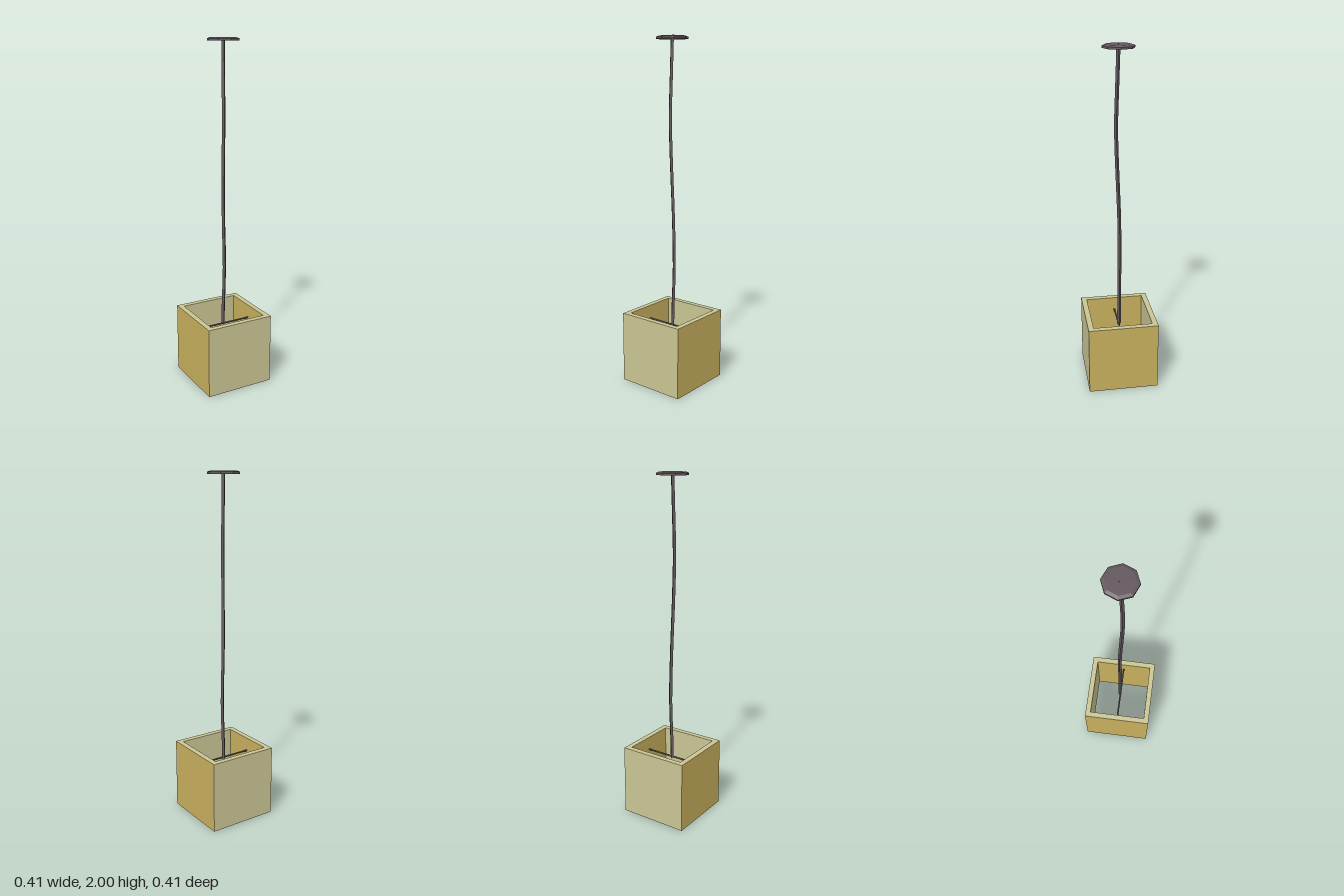
import * as THREE from 'three';

export function createModel() {
  const group = new THREE.Group();
  group.name = 'pendantLamp';

  const pale = new THREE.MeshStandardMaterial({ color: 0xc9c594 });
  pale.name = 'paleStraw';
  const gold = new THREE.MeshStandardMaterial({ color: 0xc8b05e });
  gold.name = 'gold';
  const metal = new THREE.MeshStandardMaterial({ color: 0x63585e });
  metal.name = 'darkMetal';

  const add = (name, geometry, material, x = 0, y = 0, z = 0) => {
    const mesh = new THREE.Mesh(geometry, material);
    mesh.name = name;
    mesh.position.set(x, y, z);
    group.add(mesh);
    return mesh;
  };
  const flat = (geometry) => {
    const g = geometry.index ? geometry.toNonIndexed() : geometry;
    g.computeVertexNormals();
    return g;
  };

  // Square shade, open above and below: faces along x are gold, the rest pale
  const half = 0.206, inner = 0.174, height = 0.416;
  const wall = half - inner, mid = (half + inner) / 2;
  const faces = [gold, gold, pale, pale, pale, pale];
  for (const s of [1, -1]) {
    add(s > 0 ? 'frontWall' : 'backWall',
      new THREE.BoxGeometry(half * 2, height, wall), faces, 0, height / 2, s * mid);
    add(s > 0 ? 'leftWall' : 'rightWall',
      new THREE.BoxGeometry(wall, height, inner * 2), faces, s * mid, height / 2, 0);
  }

  // Thin bar across the shade that the cord holds
  const barY = 0.335;
  const bar = add('crossBar', flat(new THREE.CylinderGeometry(0.005, 0.005, inner * 2, 6)), metal, 0, barY, 0);
  bar.rotation.z = Math.PI / 2;

  // Slightly wavy four-sided cord
  const path = new THREE.CatmullRomCurve3([
    [0, barY - 0.005, -0.003], [0.003, 0.45, -0.003], [0.011, 0.7, -0.004], [0.004, 1.0, -0.004],
    [-0.002, 1.3, 0.006], [-0.004, 1.55, 0.013], [-0.002, 1.8, 0.006], [0, 1.999, 0],
  ].map((p) => new THREE.Vector3(...p)));
  add('cord', flat(new THREE.TubeGeometry(path, 14, 0.011, 4, false)), metal);

  // Eight-sided ceiling plate with a bevelled upper edge
  const profile = [[0, 1.982], [0.09, 1.982], [0.09, 1.993], [0.073, 1.999], [0, 1.999]]
    .map(([r, y]) => new THREE.Vector2(r, y));
  add('ceilingPlate', flat(new THREE.LatheGeometry(profile, 8)), metal);

  // Small tip of the cord on top of the plate
  add('cordTip', flat(new THREE.CylinderGeometry(0.01, 0.01, 0.004, 4)), metal, 0, 1.998, 0);

  return group;
}
